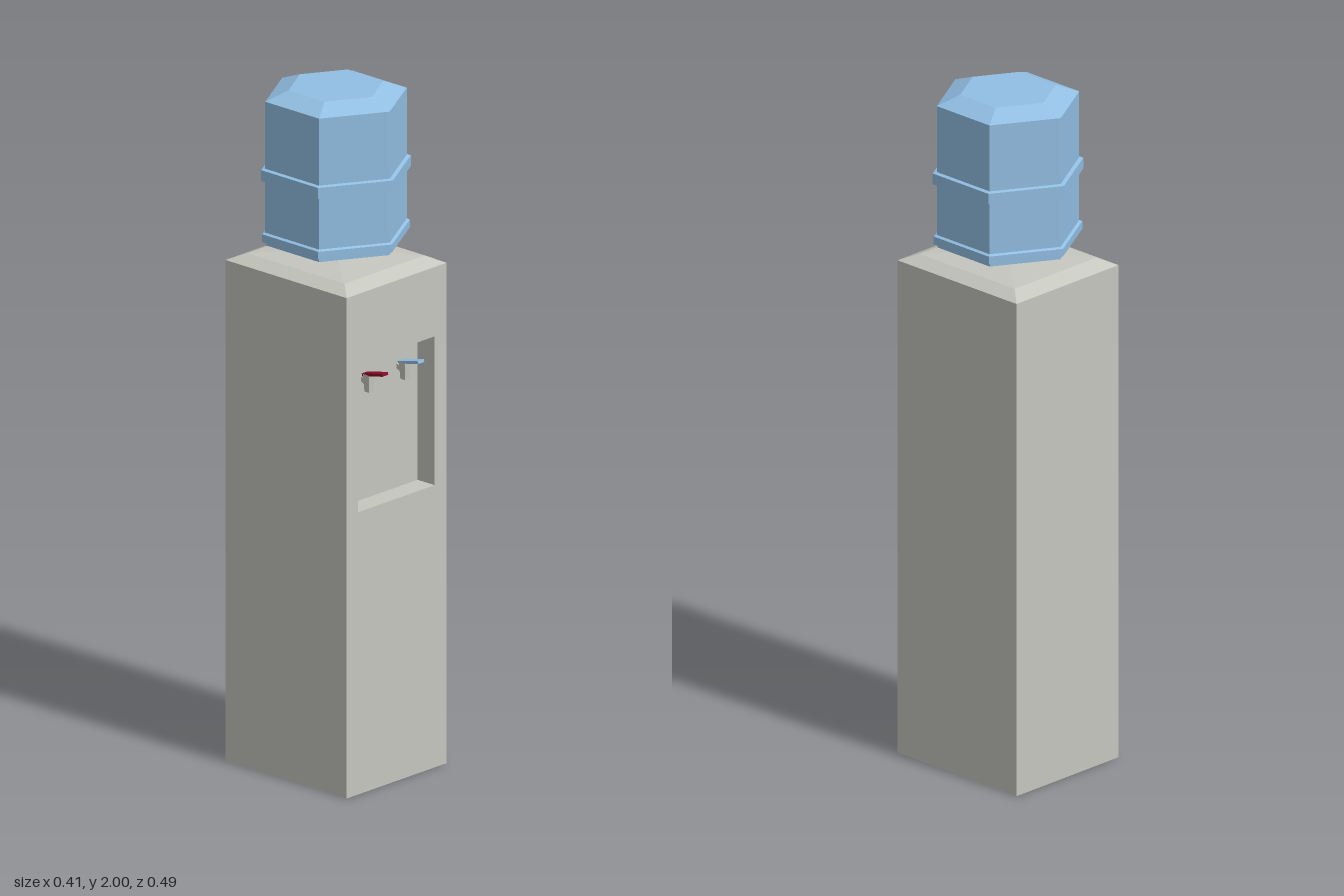
import * as THREE from 'three';

const mat = (name, color) => {
  const m = new THREE.MeshStandardMaterial({ color, flatShading: true });
  m.name = name;
  return m;
};

// Rectangular block whose top face can be narrower than its bottom
function taperedBlock(bottomW, bottomD, topW, topD, y0, y1) {
  const g = new THREE.BoxGeometry(1, y1 - y0, 1).translate(0, (y0 + y1) / 2, 0);
  const p = g.attributes.position;
  for (let i = 0; i < p.count; i++) {
    const top = p.getY(i) > (y0 + y1) / 2;
    p.setX(i, p.getX(i) * (top ? topW : bottomW));
    p.setZ(i, p.getZ(i) * (top ? topD : bottomD));
  }
  g.computeVertexNormals();
  return g;
}

export function createModel() {
  const grey = mat('warm grey plastic', 0xc5c6be);
  const blue = mat('light blue', 0x92bfe4);
  const red = mat('dark red', 0x8c0a28);

  const model = new THREE.Group();
  model.name = 'waterCooler';
  const add = (name, geometry, material, parent = model) => {
    const mesh = new THREE.Mesh(geometry, material);
    mesh.name = name;
    parent.add(mesh);
    return mesh;
  };

  const W = 0.406, H = 1.48, FRONT = 0.22, BACK = -0.245, DEPTH = 0.065;
  const CZ = (FRONT + BACK) / 2;
  const wall = FRONT - DEPTH;

  // Cabinet: solid rear block plus a front frame around the tap recess
  add('cabinet', new THREE.BoxGeometry(W, H, wall - BACK), grey)
    .position.set(0, H / 2, (wall + BACK) / 2);
  const rect = (C, x0, y0, x1, y1) =>
    new C([[x0, y0], [x1, y0], [x1, y1], [x0, y1]].map(([x, y]) => new THREE.Vector2(x, y)));
  const face = rect(THREE.Shape, -W / 2, 0, W / 2, H);
  face.holes.push(rect(THREE.Path, -0.158, 0.835, 0.154, 1.275));
  add('recessFrame', new THREE.ExtrudeGeometry(face, { depth: DEPTH, bevelEnabled: false }), grey)
    .position.z = wall;

  // Sloped lid in two tiers
  add('lidBevel', taperedBlock(W, FRONT - BACK, 0.326, 0.372, H, 1.501), grey).position.z = CZ;
  add('lidTop', taperedBlock(0.326, 0.372, 0.08, 0.08, 1.501, 1.512), grey).position.z = CZ;

  // Six-sided bottle with two raised bands
  const profile = [
    [0, 1.505], [0.038, 1.505], [0.038, 1.523], [0.204, 1.548], [0.204, 1.557],
    [0.215, 1.559], [0.215, 1.582], [0.206, 1.586], [0.206, 1.738],
    [0.218, 1.74], [0.218, 1.772], [0.206, 1.775], [0.206, 1.973], [0.138, 2], [0, 2],
  ].map(([r, y]) => new THREE.Vector2(r, y));
  add('bottle', new THREE.LatheGeometry(profile, 6), blue).position.z = CZ;

  // Hot and cold taps inside the recess
  for (const [name, x, colour] of [['hotTap', -0.07, red], ['coldTap', 0.076, blue]]) {
    const tap = new THREE.Group();
    tap.name = name;
    tap.position.x = x;
    model.add(tap);
    add('spout', taperedBlock(0.018, 0.018, 0.025, 0.024, 1.16, 1.212), grey, tap).position.z = 0.18;
    const pipe = add('pipe', new THREE.BoxGeometry(0.014, 0.014, 0.04), grey, tap);
    pipe.position.set(0, 1.19, 0.164);
    pipe.rotation.x = 0.4;
    const lever = add('lever', new THREE.BoxGeometry(0.024, 0.008, 0.08), colour, tap);
    lever.position.set(0, 1.217, 0.203);
    lever.rotation.x = -0.22;
  }
  return model;
}
